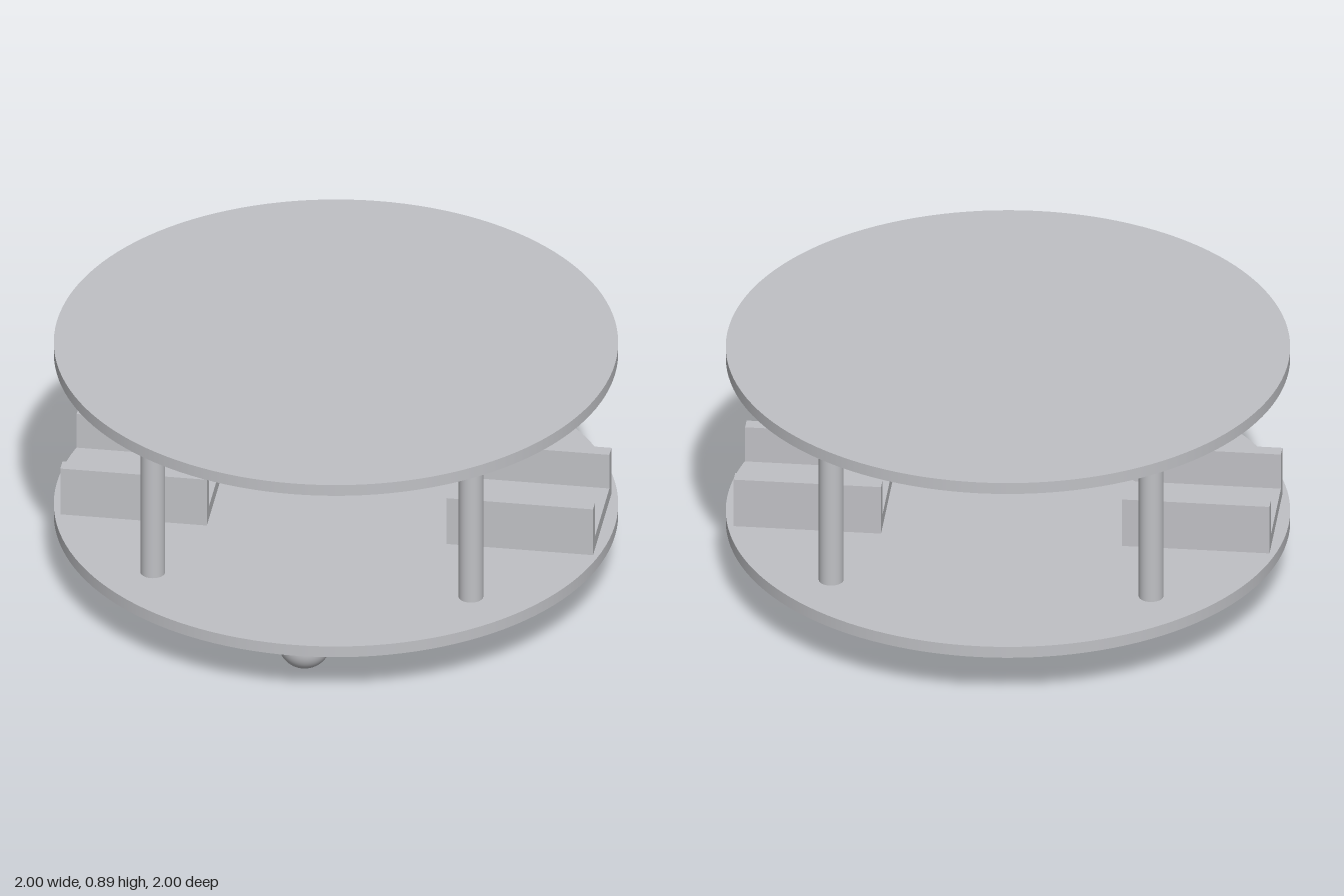
import * as THREE from 'three';

export function createModel() {
  const model = new THREE.Group();
  model.name = 'roundRobotChassis';
  const grey = new THREE.MeshStandardMaterial({ color: 0xc0c1c5 });
  grey.name = 'lightGrey';

  const add = (name, geometry, x, y, z) => {
    const mesh = new THREE.Mesh(geometry, grey);
    mesh.name = name;
    mesh.position.set(x, y, z);
    model.add(mesh);
    return mesh;
  };

  // Two round decks
  const deck = new THREE.CylinderGeometry(1, 1, 0.044, 128);
  add('lowerDeck', deck, 0, 0.21, 0);
  add('upperDeck', deck, 0, 0.873, 0);

  // Four posts between the decks
  const post = new THREE.CylinderGeometry(0.044, 0.044, 0.619, 40);
  for (const x of [-0.57, 0.57]) {
    for (const z of [-0.57, 0.57]) add('post', post, x, 0.5415, z);
  }

  // U-shaped motor brackets: profile in the z-y plane, extruded along x
  const half = 0.218, wall = 0.05, height = 0.188, length = 0.525;
  const inner = half - wall;
  const profile = new THREE.Shape([
    [-half, 0], [half, 0], [half, height], [inner, height],
    [inner, wall], [-inner, wall], [-inner, height], [-half, height],
  ].map(([a, b]) => new THREE.Vector2(a, b)));
  const bracket = new THREE.ExtrudeGeometry(profile, { depth: length, bevelEnabled: false });
  bracket.translate(0, 0, -length / 2);
  bracket.rotateY(Math.PI / 2);
  add('leftMotorBracket', bracket, 0.692, 0.232, 0.002);
  add('rightMotorBracket', bracket, -0.692, 0.232, 0.002);

  // Ball caster under the front edge
  add('ballCaster', new THREE.SphereGeometry(0.094, 48, 32), 0, 0.094, 0.742);

  return model;
}
